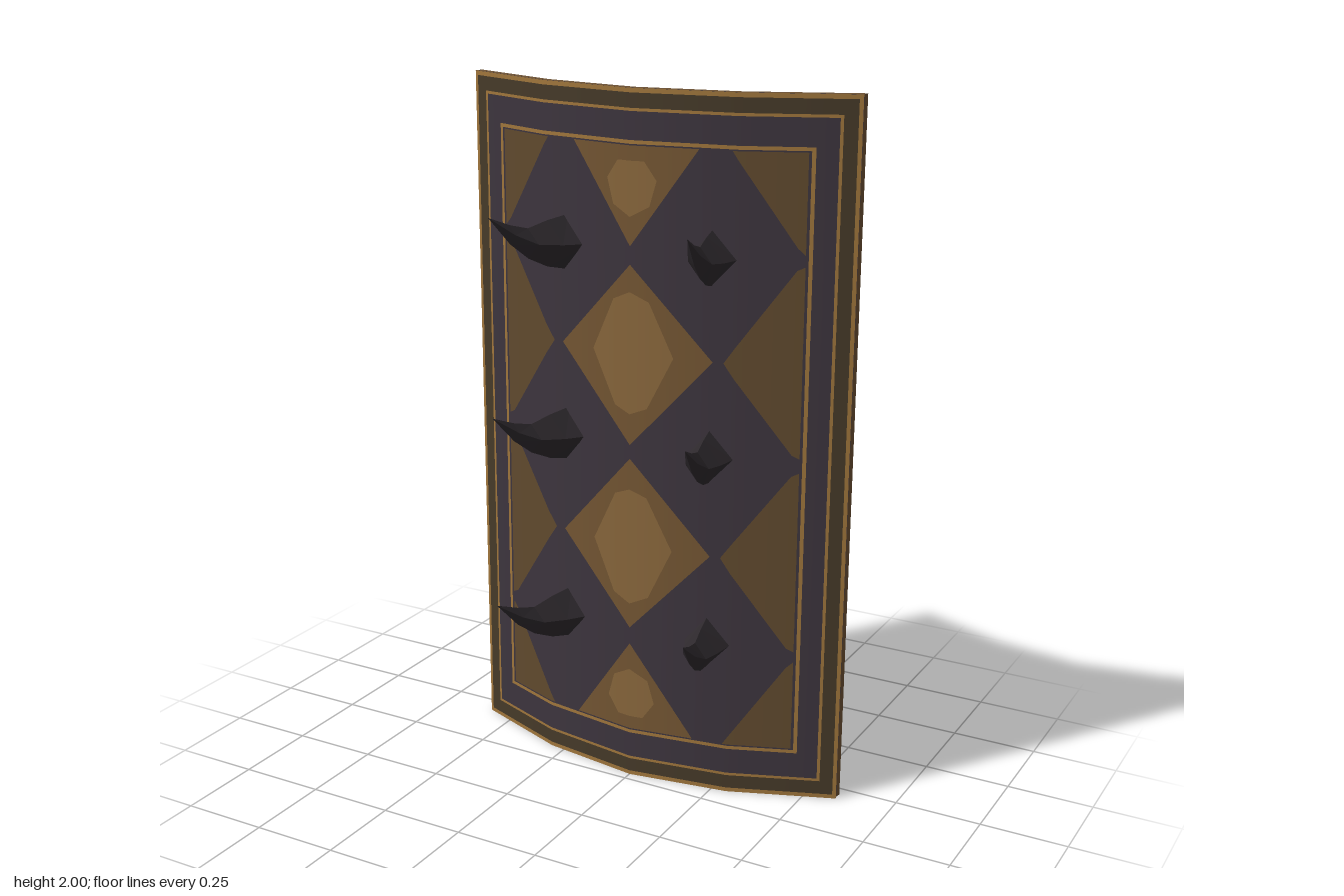
import * as THREE from 'three';
import { mergeGeometries } from 'three/addons/utils/BufferGeometryUtils.js';

const mat = (name, color, side = THREE.FrontSide) => {
  const m = new THREE.MeshStandardMaterial({ color, side });
  m.name = name;
  return m;
};

// Plan of the bent board: fold positions and front depth
const FOLDS = [-0.59, -0.295, 0, 0.295, 0.59];
const DEPTH = [-0.19, -0.075, -0.03, -0.075, -0.19];
const SLOPE = [-0.39, -0.27, 0, 0.27, 0.39];
const H = 2, THICK = 0.024;

const sample = (table, x) => {
  const i = Math.min(3, Math.max(0, FOLDS.findIndex((f) => x <= f + 1e-6) - 1));
  const t = (x - FOLDS[i]) / (FOLDS[i + 1] - FOLDS[i]);
  return table[i] + (table[i + 1] - table[i]) * t;
};

// Keep the part of a convex polygon on one side of the line x = c
function clip(pts, c, sign) {
  const out = [];
  pts.forEach((a, i) => {
    const b = pts[(i + 1) % pts.length];
    const da = sign * (a[0] - c), db = sign * (b[0] - c);
    if (da >= 0) out.push(a);
    if ((da > 0 && db < 0) || (da < 0 && db > 0)) {
      out.push([c, a[1] + (b[1] - a[1]) * da / (da - db)]);
    }
  });
  return out;
}

// Lay flat convex polygons over the bent front, with smooth normals across folds
function onFront(polys, offset) {
  const parts = [];
  for (const poly of polys) {
    for (let i = 0; i < 4; i++) {
      const p = clip(clip(poly, FOLDS[i], 1), FOLDS[i + 1], -1);
      if (p.length < 3) continue;
      const xs = p.map((q) => q[0]);
      if (Math.max(...xs) - Math.min(...xs) < 1e-5) continue;
      const g = new THREE.ShapeGeometry(new THREE.Shape(p.map((q) => new THREE.Vector2(...q))));
      const pos = g.attributes.position, nor = g.attributes.normal;
      for (let k = 0; k < pos.count; k++) {
        const x = pos.getX(k);
        pos.setZ(k, sample(DEPTH, x) + offset);
        const n = new THREE.Vector3(sample(SLOPE, x), 0, 1).normalize();
        nor.setXYZ(k, n.x, n.y, n.z);
      }
      parts.push(g);
    }
  }
  return mergeGeometries(parts);
}

const rect = (x0, y0, x1, y1) => [[x0, y0], [x1, y0], [x1, y1], [x0, y1]];
const mirrorX = (p) => p.map(([x, y]) => [-x, y]);
const flipY = (p) => p.map(([x, y]) => [x, H - y]);
// Rectangular ring: outer half width and margin, inner half width and margin
const ring = (xo, mo, xi, mi) => [
  rect(-xo, mo, xo, mi), rect(-xo, H - mi, xo, H - mo),
  rect(-xo, mi, -xi, H - mi), rect(xi, mi, xo, H - mi),
];

// Curved four-sided horn made from diamond sections: z, bottom y, top y
function hornGeometry(side) {
  const rows = [[-0.08, -0.08, 0.075], [0, -0.06, 0.068], [0.07, -0.027, 0.056], [0.135, 0.022, 0.074], [0.21, 0.103, 0.104]];
  const pos = [], idx = [];
  for (const [z, y0, y1] of rows) {
    const inner = 0.165 + 0.13 * (z + 0.055) / 0.265, mid = (inner + 0.295) / 2, yc = (y0 + y1) / 2;
    pos.push(inner * side, yc, z, mid * side, y1, z, 0.295 * side, yc, z, mid * side, y0, z);
  }
  for (let r = 0; r < rows.length - 1; r++) {
    for (let k = 0; k < 4; k++) {
      const a = r * 4 + k, b = r * 4 + (k + 1) % 4, c = a + 4, d = b + 4;
      if (side > 0) idx.push(a, c, b, b, c, d);
      else idx.push(a, b, c, b, d, c);
    }
  }
  const g = new THREE.BufferGeometry();
  g.setAttribute('position', new THREE.Float32BufferAttribute(pos, 3));
  g.setIndex(idx);
  const flat = g.toNonIndexed();
  flat.computeVertexNormals();
  return flat;
}

export function createModel() {
  const group = new THREE.Group();
  const slate = mat('slate purple', 0x3d353e);
  const olive = mat('dark olive brown', 0x463a29);
  const darkBronze = mat('dark bronze', 0x614a2e);
  const bronze = mat('bronze', 0x745633);
  const lightBronze = mat('light bronze', 0x89673c);
  const gold = mat('gold trim', 0xa0763c);
  const horn = mat('horn black', 0x2f2a2e);
  const rim = mat('rim bronze', 0x6b5033, THREE.DoubleSide);
  const add = (name, geo, m) => {
    const mesh = new THREE.Mesh(geo, m);
    mesh.name = name;
    group.add(mesh);
    return mesh;
  };

  // Board: front sheet, back sheet and rim
  const full = [rect(-0.59, 0, 0.59, H)];
  add('boardFront', onFront(full, 0), slate);
  const back = onFront(full, -THICK);
  const n = back.attributes.normal, ix = back.index;
  const backX = (x) => x * 0.988;
  for (let i = 0; i < n.count; i++) {
    n.setXYZ(i, -n.getX(i), 0, -n.getZ(i));
    back.attributes.position.setX(i, backX(back.attributes.position.getX(i)));
  }
  for (let i = 0; i < ix.count; i += 3) {
    const a = ix.getX(i);
    ix.setX(i, ix.getX(i + 1));
    ix.setX(i + 1, a);
  }
  add('boardBack', back, slate);
  const outline = new THREE.Shape([
    ...FOLDS.map((x, i) => new THREE.Vector2(x, -DEPTH[i])),
    ...FOLDS.map((x, i) => new THREE.Vector2(backX(x), -DEPTH[i] + THICK)).reverse(),
  ]);
  for (const y of [0, H]) {
    const cap = new THREE.ShapeGeometry(outline);
    cap.rotateX(-Math.PI / 2).translate(0, y, 0);
    if (y === 0) cap.scale(-1, 1, 1).rotateZ(Math.PI).scale(-1, 1, 1);
    add(y ? 'topRim' : 'bottomRim', cap, rim);
  }
  for (const s of [-1, 1]) {
    const edge = new THREE.PlaneGeometry(THICK * 1.05, H);
    edge.rotateY(s * (Math.PI / 2 - 0.29)).translate(s * 0.5865, H / 2, -0.19 - THICK / 2);
    add(s > 0 ? 'leftRim' : 'rightRim', edge, rim);
  }

  // Border bands and trim lines
  add('outerTrim', onFront(ring(0.59, 0, 0.58, 0.012), 0.002), gold);
  add('outerBand', onFront(ring(0.58, 0.012, 0.545, 0.052), 0.002), olive);
  add('middleTrim', onFront(ring(0.545, 0.052, 0.537, 0.06), 0.002), gold);
  add('innerTrim', onFront(ring(0.482, 0.136, 0.472, 0.146), 0.002), gold);

  // Side and corner panels of the diamond pattern
  const sidePanel = [[0.465, 1.55], [0.445, 1.54], [0.265, 1.28], [0.445, 1.03], [0.465, 1.02]];
  const corner = [[0.465, 1.85], [0.28, 1.85], [0.445, 1.6], [0.465, 1.58]];
  const sides = [sidePanel, flipY(sidePanel), corner, flipY(corner)];
  add('sidePanels', onFront([...sides, ...sides.map(mirrorX)], 0.002), darkBronze);

  // Centre diamonds and end triangles
  const diamond = [[0, 1.53], [-0.235, 1.28], [0, 1.02], [0.235, 1.28]];
  const endPanel = [[-0.19, 1.85], [0, 1.58], [0.19, 1.85]];
  add('centrePanels', onFront([diamond, flipY(diamond), endPanel, flipY(endPanel)], 0.002), bronze);

  // Lighter worn patches in the middle of the centre panels
  const patch = [[-0.125, 1.28], [-0.05, 1.13], [0, 1.11], [0.05, 1.13], [0.125, 1.28], [0.055, 1.43], [0, 1.455], [-0.055, 1.43]];
  const spot = [[-0.075, 1.76], [-0.055, 1.69], [0, 1.66], [0.055, 1.69], [0.075, 1.76], [0.04, 1.81], [-0.04, 1.81]];
  add('centrePatches', onFront([patch, flipY(patch), spot, flipY(spot)], 0.004), lightBronze);

  // Two columns of upward-curving horns
  for (const s of [-1, 1]) {
    const geo = hornGeometry(s);
    [1.565, 1.012, 0.46].forEach((y, i) => {
      add(`${s > 0 ? 'left' : 'right'}Horn${i + 1}`, geo, horn).position.y = y;
    });
  }
  return group;
}
